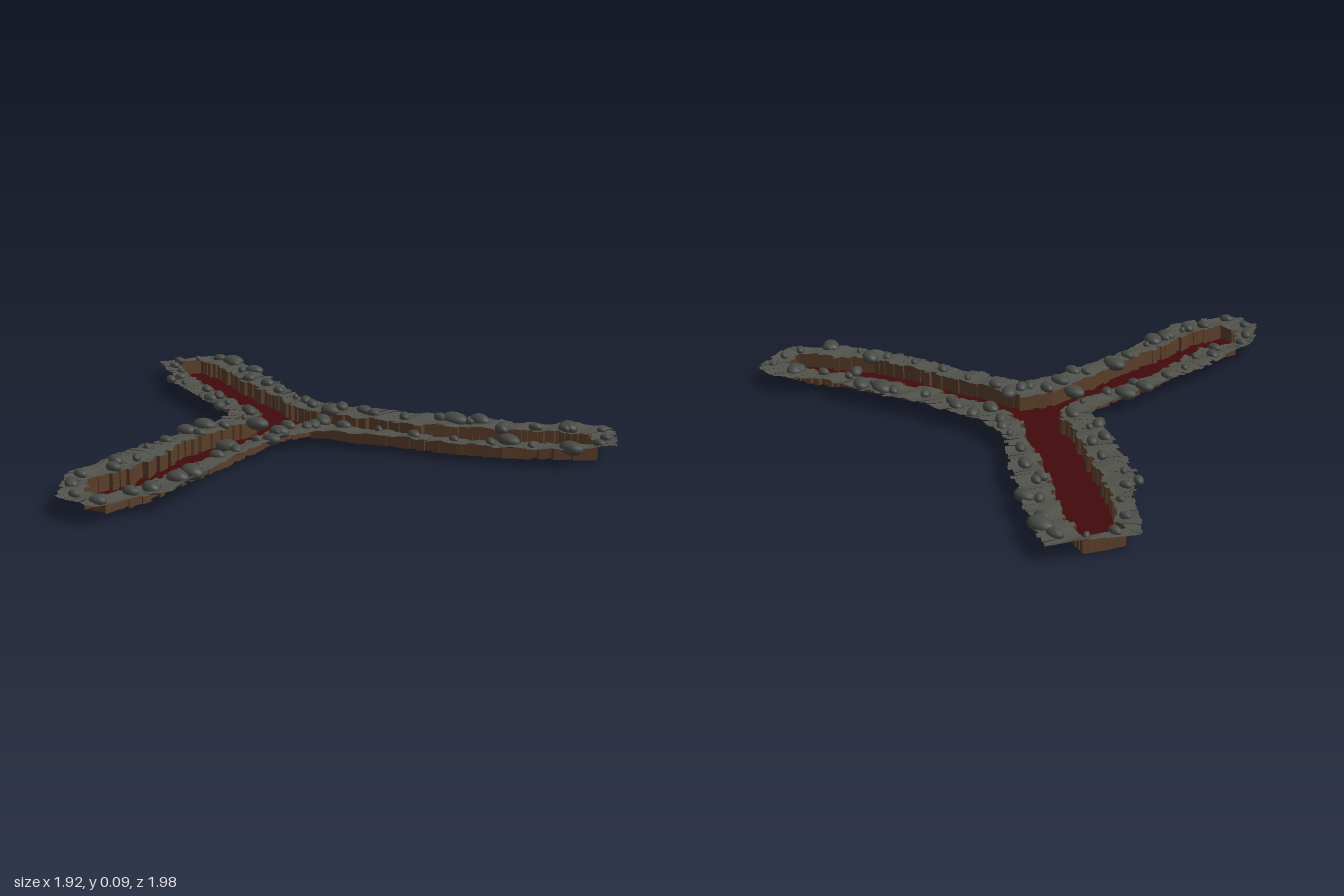
import * as THREE from 'three';

const mat = (name, color, side = THREE.DoubleSide) => {
  const m = new THREE.MeshStandardMaterial({ color, side });
  m.name = name;
  return m;
};

// small seeded random
let seed = 7;
const rand = () => {
  seed = (seed * 16807) % 2147483647;
  return seed / 2147483647;
};

// Paired x,z outlines: edge of the trench floor and outer edge of the rim,
// running round the back arm, the front left arm and the front right arm.
const INNER = [
  0.29, -0.94, 0.43, -0.93, 0.42, -0.77, 0.38, -0.61, 0.34, -0.43, 0.30, -0.18, 0.26, -0.03,
  0.29, 0.09, 0.37, 0.23, 0.46, 0.39, 0.58, 0.51, 0.69, 0.64, 0.79, 0.74, 0.84, 0.82, 0.78, 0.92,
  0.67, 0.83, 0.54, 0.73, 0.45, 0.61, 0.35, 0.45, 0.24, 0.27, 0.18, 0.17, 0.06, 0.16,
  -0.13, 0.25, -0.29, 0.34, -0.50, 0.43, -0.66, 0.52, -0.82, 0.55, -0.85, 0.49, -0.79, 0.37,
  -0.62, 0.35, -0.48, 0.26, -0.31, 0.16, -0.12, 0.09, 0.06, 0.03, 0.13, -0.05, 0.13, -0.21,
  0.17, -0.40, 0.20, -0.57, 0.25, -0.76, 0.30, -0.88];
const OUTER = [
  0.27, -0.99, 0.56, -0.95, 0.53, -0.78, 0.49, -0.60, 0.45, -0.42, 0.37, -0.17, 0.38, -0.01,
  0.45, 0.10, 0.52, 0.23, 0.60, 0.33, 0.68, 0.44, 0.76, 0.58, 0.93, 0.70, 0.96, 0.82, 0.80, 0.99,
  0.63, 0.94, 0.49, 0.82, 0.38, 0.66, 0.28, 0.50, 0.18, 0.37, 0.11, 0.29, -0.02, 0.29,
  -0.22, 0.38, -0.38, 0.46, -0.52, 0.55, -0.65, 0.64, -0.92, 0.65, -0.96, 0.50, -0.84, 0.32,
  -0.65, 0.22, -0.52, 0.15, -0.38, 0.10, -0.18, 0.02, -0.03, -0.05, 0.03, -0.11, 0.04, -0.25,
  0.07, -0.45, 0.11, -0.65, 0.19, -0.77, 0.23, -0.91];

const point = (list, i) => {
  const k = (i * 2) % list.length;
  return new THREE.Vector2(list[k], list[k + 1]);
};
const rimHeight = (p, t) => 0.055 + 0.005 * t + 0.003 * Math.sin(18 * p.x + 52 * p.y);

// Cut the outlines into short slabs, each pushed in or out to make ragged steps
function makeSlabs() {
  const slabs = [];
  for (let i = 0; i < INNER.length / 2; i++) {
    const a0 = point(INNER, i), a1 = point(INNER, i + 1);
    const b0 = point(OUTER, i), b1 = point(OUTER, i + 1);
    const n = Math.max(2, Math.round(Math.max(a0.distanceTo(a1), b0.distanceTo(b1)) / 0.026));
    for (let k = 0; k < n; k++) {
      const line = (f) => [a0.clone().lerp(a1, f), b0.clone().lerp(b1, f)];
      slabs.push({
        from: line(k / n), to: line((k + 1) / n),
        t0: (rand() - 0.5) * 0.22, t1: 0.97 + (rand() - 0.5) * 0.18,
        lift: (rand() - 0.5) * 0.003,
      });
    }
  }
  return slabs;
}
const across = ([a, b], t) => a.clone().lerp(b, t);

function quadGeometry(quads) {
  const pos = [];
  for (const [a, b, c, d] of quads) pos.push(...a, ...b, ...c, ...a, ...c, ...d);
  const g = new THREE.BufferGeometry();
  g.setAttribute('position', new THREE.Float32BufferAttribute(pos, 3));
  g.computeVertexNormals();
  return g;
}

export function createModel() {
  seed = 7;
  const model = new THREE.Group();
  model.name = 'forkedTrench';
  const floorMat = mat('dark red', 0x420a0c);
  const wallMat = mat('earth brown', 0x5a3e2a);
  const rimMat = mat('ash grey', 0x51524b);
  const rockMat = mat('stone grey', 0x484a46, THREE.FrontSide);
  const add = (name, geometry, material) => {
    const mesh = new THREE.Mesh(geometry, material);
    mesh.name = name;
    model.add(mesh);
    return mesh;
  };

  const slabs = makeSlabs();

  // trench floor
  const edge = slabs.flatMap((s) => [across(s.from, s.t0), across(s.to, s.t0)]);
  add('floor', new THREE.ShapeGeometry(new THREE.Shape(edge)).rotateX(Math.PI / 2).translate(0, 0.002, 0), floorMat);

  // upright earth walls along the floor edge
  add('walls', quadGeometry(edge.map((p, i) => {
    const q = edge[(i + 1) % edge.length];
    return [[p.x, 0, p.y], [q.x, 0, q.y], [q.x, rimHeight(q, 0), q.y], [p.x, rimHeight(p, 0), p.y]];
  })), wallMat);

  // thin rippled rim reaching outward from the wall tops
  const rim = [];
  for (const s of slabs) {
    const corner = (line, t) => {
      const p = across(line, t);
      return [p.x, rimHeight(p, t) + s.lift * t, p.y];
    };
    const step = (s.t1 - s.t0) / 5;
    for (let k = 0; k < 5; k++) {
      const t = s.t0 + k * step;
      rim.push([corner(s.from, t), corner(s.to, t), corner(s.to, t + step), corner(s.from, t + step)]);
    }
  }
  add('rim', quadGeometry(rim), rimMat);

  // rounded rocks: x, z, radius
  const ROCKS = [
    [0.51, -0.82, 0.045], [0.48, -0.62, 0.035], [0.39, -0.40, 0.03], [0.38, -0.51, 0.025],
    [0.12, -0.66, 0.022], [0.07, -0.30, 0.028], [0.04, -0.19, 0.03], [0.32, 0.09, 0.035],
    [0.39, 0.07, 0.03], [0.42, 0.16, 0.032], [0.60, 0.43, 0.05], [0.66, 0.49, 0.04],
    [0.64, 0.62, 0.03], [0.55, 0.75, 0.04], [0.84, 0.73, 0.04], [0.65, 0.93, 0.04],
    [0.21, 0.20, 0.038], [0.15, 0.23, 0.03], [0.00, 0.11, 0.04], [0.07, 0.19, 0.03],
    [0.00, 0.24, 0.035], [-0.25, 0.31, 0.04], [-0.08, 0.31, 0.032], [-0.16, 0.03, 0.042],
    [-0.25, 0.06, 0.035], [-0.50, 0.50, 0.045], [-0.57, 0.53, 0.035], [-0.69, 0.58, 0.035],
    [-0.63, 0.26, 0.03], [-0.86, 0.41, 0.03], [0.34, -0.08, 0.028], [0.08, -0.05, 0.03]];
  const ball = new THREE.SphereGeometry(1, 12, 8);
  const addRock = (x, z, r) => {
    const rock = add('rock', ball, rockMat);
    rock.position.set(x, 0.062, z);
    rock.scale.set(r * 0.72, Math.min(0.024, 0.006 + r * 0.42), r * 1.1);
    rock.rotation.y = (rand() - 0.5) * 1.2;
  };
  for (const [x, z, r] of ROCKS) addRock(x, z, r);

  // smaller stones scattered along the rim
  for (let i = 3; i < slabs.length; i += 5) {
    const p = across(slabs[i].from, 0.2 + rand() * 0.5);
    addRock(p.x, p.y, 0.014 + rand() * 0.014);
  }
  return model;
}
